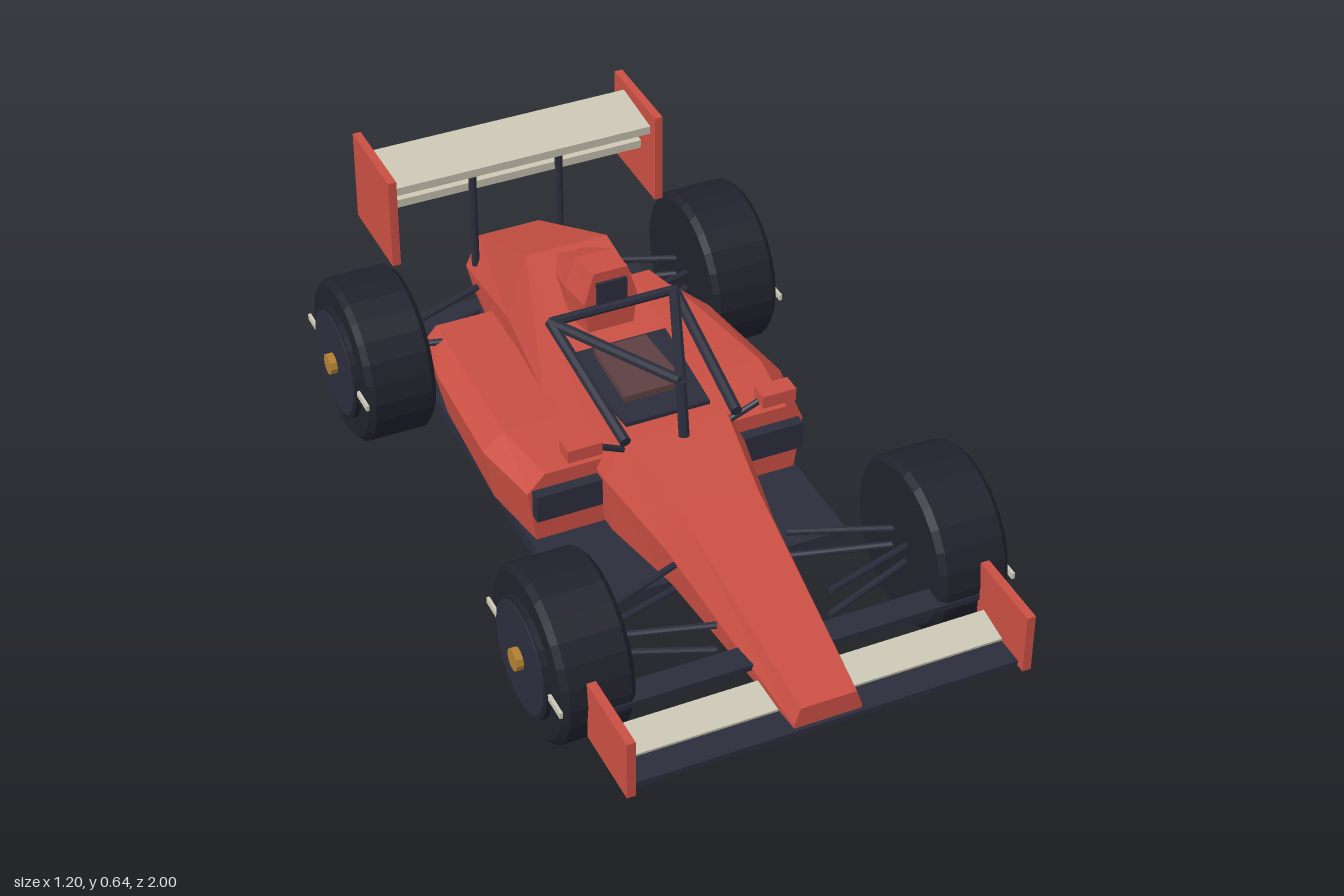
import * as THREE from 'three';

const mat = (color) => new THREE.MeshStandardMaterial({ color, flatShading: true });
const RED = mat(0xc94f43), DARK = mat(0x2b2d3c), TYRE = mat(0x20222c);
const CREAM = mat(0xcbc6b4), GOLD = mat(0xb08030), SEAT = mat(0x5e3f40);

export function createModel() {
  const car = new THREE.Group();
  car.name = 'racingCar';

  const add = (name, geo, material, parent = car) => {
    const m = new THREE.Mesh(geo, material);
    m.name = name;
    parent.add(m);
    return m;
  };
  const box = (name, material, size, pos, rx = 0, parent = car) => {
    const m = add(name, new THREE.BoxGeometry(...size), material, parent);
    m.position.set(...pos);
    m.rotation.x = rx;
    return m;
  };
  // round bar between two points
  const bar = (name, a, b, r, material = DARK, sides = 8) => {
    const p = new THREE.Vector3(...a), q = new THREE.Vector3(...b);
    const d = q.clone().sub(p);
    const m = add(name, new THREE.CylinderGeometry(r, r, d.length(), sides), material);
    m.position.copy(p).add(q).multiplyScalar(0.5);
    m.quaternion.setFromUnitVectors(new THREE.Vector3(0, 1, 0), d.normalize());
    return m;
  };
  // closed skin over cross-sections listed front to back, counter-clockwise seen from the front
  const loft = (rings) => {
    const n = rings[0].length, idx = [], last = (rings.length - 1) * n;
    for (let i = 0; i < rings.length - 1; i++) {
      for (let j = 0; j < n; j++) {
        const a = i * n + j, b = i * n + (j + 1) % n;
        idx.push(a, a + n, b, b, a + n, b + n);
      }
    }
    for (let j = 1; j < n - 1; j++) idx.push(0, j, j + 1, last, last + j + 1, last + j);
    const g = new THREE.BufferGeometry();
    g.setAttribute('position', new THREE.Float32BufferAttribute(rings.flat(2), 3));
    g.setIndex(idx);
    const flat = g.toNonIndexed();
    flat.computeVertexNormals();
    return flat;
  };
  // symmetrical six-sided section: half widths and heights of bottom, middle and top
  const hex = ([z, bw, by, mw, my, tw, ty]) => [
    [-bw, by, z], [bw, by, z], [mw, my, z], [tw, ty, z], [-tw, ty, z], [-mw, my, z],
  ];

  // main body: nose, cockpit tub and engine cover
  add('body', loft([
    [0.97, 0.085, 0.145, 0.085, 0.155, 0.07, 0.2],
    [0.4, 0.125, 0.14, 0.14, 0.25, 0.1, 0.345],
    [0.15, 0.165, 0.128, 0.185, 0.29, 0.135, 0.395],
    [-0.21, 0.17, 0.125, 0.19, 0.3, 0.14, 0.402],
    [-0.5, 0.15, 0.125, 0.165, 0.33, 0.11, 0.505],
    [-0.89, 0.105, 0.145, 0.125, 0.23, 0.085, 0.315],
  ].map(hex)), RED);

  // air intake above the engine cover
  add('airbox', loft([
    [-0.225, 0.06, 0.435, 0.07, 0.52, 0.045, 0.605],
    [-0.33, 0.07, 0.42, 0.078, 0.51, 0.05, 0.59],
    [-0.48, 0.045, 0.42, 0.05, 0.47, 0.035, 0.5],
  ].map(hex)), RED);
  box('airboxOpening', DARK, [0.08, 0.085, 0.012], [0, 0.535, -0.222]);

  // cockpit
  add('cockpitOpening', loft([[0.11, 0.11], [-0.2, 0.135]].map(([z, w]) => [
    [-w, 0.385, z], [w, 0.385, z], [w, 0.407, z], [-w, 0.407, z]])), DARK);
  add('seat', loft([[0.035, 0.08], [-0.175, 0.07]].map(([z, w]) => [
    [-w, 0.4, z], [w, 0.4, z], [w, 0.424, z], [-w, 0.424, z]])), SEAT);

  box('floor', DARK, [0.715, 0.033, 1.26], [0, 0.1, -0.26]);

  // protective frame over the cockpit
  const apex = [0, 0.548, 0.18];
  bar('framePost', apex, [0, 0.4, 0.2], 0.014);
  bar('frameRearBar', [-0.165, 0.505, -0.215], [0.165, 0.505, -0.215], 0.012);

  // wheel with rim, hub and side strip, facing +x
  const tyreProfile = [[0, -0.09], [0.2, -0.09], [0.215, -0.075], [0.215, 0.075], [0.2, 0.09], [0, 0.09]]
    .map(([r, y]) => new THREE.Vector2(r, y));
  const wheel = (name, s, z) => {
    const g = new THREE.Group();
    g.name = name;
    const disc = (part, r, len, x, material, sides) => {
      const m = add(part, new THREE.CylinderGeometry(r, r, len, sides), material, g);
      m.rotation.z = -Math.PI / 2;
      m.position.x = x;
    };
    add('tyre', new THREE.LatheGeometry(tyreProfile, 24), TYRE, g).rotation.z = -Math.PI / 2;
    disc('rimEdge', 0.148, 0.02, 0.094, TYRE, 24);
    disc('rim', 0.138, 0.03, 0.093, DARK, 24);
    disc('hub', 0.028, 0.04, 0.106, GOLD, 10);
    box('sideStrip', CREAM, [0.008, 0.016, 0.43], [0.097, 0, 0], 0, g);
    g.position.set(s * 0.475, 0.219, z);
    if (s < 0) g.rotation.y = Math.PI;
    car.add(g);
  };

  // sidepod sections: z, outer bottom x, outer middle x and y, outer top x, top y, inner x
  const podSections = [
    [0.105, 0.345, 0.365, 0.27, 0.32, 0.318, 0.14],
    [-0.09, 0.375, 0.4, 0.27, 0.345, 0.318, 0.14],
    [-0.45, 0.355, 0.375, 0.24, 0.32, 0.275, 0.12],
    [-0.66, 0.32, 0.335, 0.2, 0.3, 0.24, 0.1],
  ];

  for (const s of [1, -1]) {
    const side = s > 0 ? 'left' : 'right';
    const rings = podSections.map(([z, bx, mx, my, tx, ty, ix]) => {
      const ring = [[ix, 0.125], [bx, 0.125], [mx, my], [tx, ty], [ix, ty]]
        .map(([x, y]) => [s * x, y, z]);
      return s > 0 ? ring : ring.reverse();
    });
    add(side + 'Sidepod', loft(rings), RED);
    box(side + 'PodIntake', DARK, [0.17, 0.075, 0.035], [s * 0.268, 0.24, 0.117]);

    bar(side + 'FrameTopBar', apex, [s * 0.165, 0.505, -0.215], 0.014);
    bar(side + 'FrameLowerBar', [s * 0.145, 0.415, 0.185], [s * 0.165, 0.505, -0.215], 0.015);

    // mirror
    bar(side + 'MirrorStalk', [s * 0.14, 0.375, 0.16], [s * 0.225, 0.42, 0.17], 0.008);
    box(side + 'Mirror', RED, [0.088, 0.034, 0.05], [s * 0.253, 0.427, 0.172]);

    // wheels and wishbones
    for (const [end, z] of [['Front', 0.575], ['Rear', -0.645]]) {
      wheel(side + end + 'Wheel', s, z);
      for (const d of [1, -1]) {
        bar(side + end + 'UpperArm', [s * 0.145, 0.25, z + d * 0.115], [s * 0.4, 0.238, z + d * 0.03], 0.009);
        bar(side + end + 'LowerArm', [s * 0.145, 0.175, z + d * 0.115], [s * 0.4, 0.19, z + d * 0.03], 0.009);
      }
    }

    // wing end plates and rear wing posts
    box(side + 'FrontEndPlate', RED, [0.022, 0.16, 0.215], [s * 0.496, 0.205, 0.89]);
    box(side + 'RearEndPlate', RED, [0.022, 0.25, 0.255], [s * 0.366, 0.518, -0.8725]);
    bar(side + 'RearWingPost', [s * 0.12, 0.27, -0.83], [s * 0.12, 0.59, -0.83], 0.011);
  }

  // front wing planes
  box('frontWingMain', DARK, [0.98, 0.015, 0.09], [0, 0.132, 0.93]);
  box('frontWingFlap', CREAM, [0.98, 0.014, 0.09], [0, 0.149, 0.855], 0.2);
  box('frontWingRearFlap', DARK, [0.98, 0.016, 0.065], [0, 0.187, 0.757], 0.05);

  // rear wing planes
  box('rearWingUpper', CREAM, [0.715, 0.024, 0.168], [0, 0.6, -0.858], 0.1);
  box('rearWingLower', CREAM, [0.715, 0.024, 0.165], [0, 0.523, -0.915], 0.1);

  return car;
}
